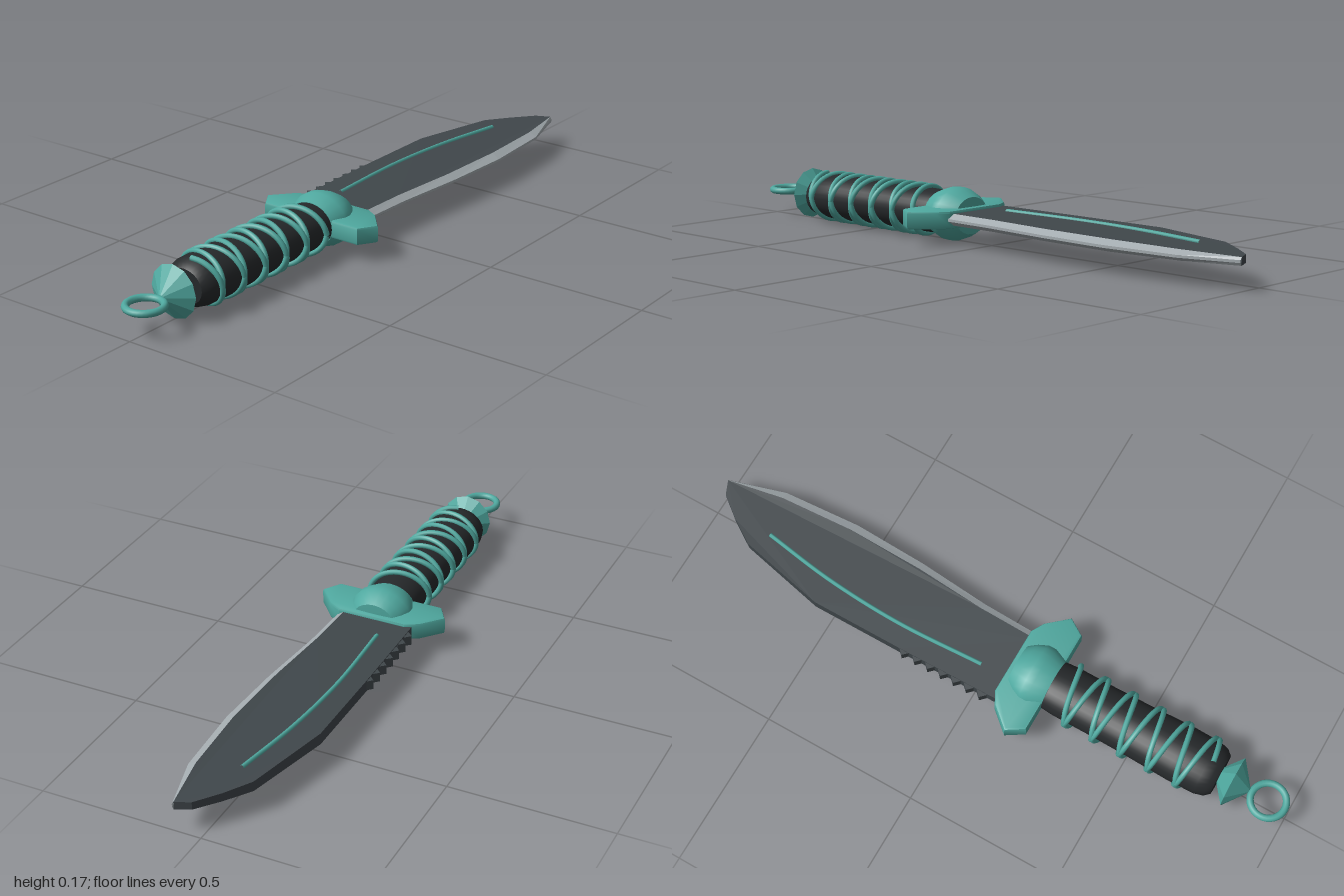
import * as THREE from 'three';
import { toCreasedNormals } from 'three/addons/utils/BufferGeometryUtils.js';

const MID = 0.084; // height of the long axis
const paint = (color, extra = {}) => new THREE.MeshStandardMaterial({ color, ...extra });
const teal = paint(0x4fa89f);
const tealFlat = paint(0x4fa89f, { flatShading: true });
const gripBlack = paint(0x26292b);
const steel = paint(0x40474b, { flatShading: true });
const honed = paint(0xa3abaf, { flatShading: true });

export function createModel() {
  const model = new THREE.Group();
  const add = (name, geometry, material) => {
    const mesh = new THREE.Mesh(geometry, material);
    mesh.name = name;
    mesh.position.y = MID;
    model.add(mesh);
    return mesh;
  };

  // Plan outline of [x, z] points, extruded to a slab centred on y = 0
  const slab = (outline, thickness, bevel = 0) => {
    const shape = new THREE.Shape(outline.map(([x, z]) => new THREE.Vector2(x, -z)));
    const depth = thickness - 2 * bevel;
    return new THREE.ExtrudeGeometry(shape, {
      depth, bevelEnabled: bevel > 0, bevelSize: bevel, bevelOffset: -bevel,
      bevelThickness: bevel, bevelSegments: 2,
    }).translate(0, 0, -depth / 2).rotateX(-Math.PI / 2);
  };

  // Turned body along z, from [radius, z] points, squashed in height
  const turned = (profile, sides, squash) =>
    new THREE.LatheGeometry(profile.map(([r, z]) => new THREE.Vector2(r, z)), sides)
      .rotateX(Math.PI / 2).scale(1, squash, 1);

  // Blade body: spine on -x, bevel line on +x, a little thinner at the tip
  const halfThick = (z) => 0.018 - 0.006 * THREE.MathUtils.smoothstep(-z, 0.7, 1);
  const bevelLine = [[0.095, 0.1], [0.1, -0.1], [0.118, -0.33], [0.125, -0.58], [0.112, -0.82], [0.08, -1]];
  const spine = [[0.035, -0.98], [-0.02, -0.91], [-0.072, -0.83], [-0.135, -0.55], [-0.135, -0.25], [-0.13, 0.1]];
  const blade = slab([...bevelLine, ...spine], 2);
  const pos = blade.attributes.position;
  for (let i = 0; i < pos.count; i++) pos.setY(i, pos.getY(i) * halfThick(pos.getZ(i)));
  blade.computeVertexNormals();
  add('blade', blade, steel);

  // Sharpened edge: wedge lofted along the bevel line
  const edgeLine = [[0.115, 0.1], [0.122, -0.1], [0.143, -0.33], [0.153, -0.57], [0.137, -0.82], [0.085, -1]];
  const verts = [], faces = [];
  bevelLine.forEach(([x, z], i) => {
    const [ex, ez] = edgeLine[i], h = halfThick(z);
    verts.push(x, h, z, ex, 0.004, ez, ex, -0.004, ez, x, -h, z);
    if (i === 0) return;
    const b = i * 4, a = b - 4;
    for (let k = 0; k < 3; k++) faces.push(a + k, a + k + 1, b + k, a + k + 1, b + k + 1, b + k);
  });
  const edge = new THREE.BufferGeometry();
  edge.setAttribute('position', new THREE.Float32BufferAttribute(verts, 3));
  edge.setIndex(faces);
  edge.computeVertexNormals();
  add('cuttingEdge', edge, paint(0xa3abaf, { flatShading: true, side: THREE.DoubleSide }));

  // Saw teeth along the spine
  for (let i = 0; i < 7; i++) {
    const tooth = add('sawTooth', new THREE.BoxGeometry(0.024, 0.03, 0.024), steel);
    tooth.position.set(-0.133, MID, 0.035 - i * 0.045);
    tooth.rotation.y = Math.PI / 4;
  }

  // Inlaid line on the upper face
  const inlay = new THREE.CatmullRomCurve3([[-0.056, -0.01], [-0.066, -0.3], [-0.05, -0.55], [-0.013, -0.786]]
    .map(([x, z]) => new THREE.Vector3(x, halfThick(z), z)));
  add('bladeInlay', new THREE.TubeGeometry(inlay, 24, 0.007, 6), teal);

  // Cross guard with its rounded collar
  const guardHalf = [[0.11, 0.068], [0.15, 0.09], [0.207, 0.155], [0.172, 0.21]];
  const guardOutline = [...guardHalf.map(([x, z]) => [-x, z]), ...guardHalf.slice().reverse()];
  add('guard', toCreasedNormals(slab(guardOutline, 0.056, 0.008), 0.6), teal);
  const collar = turned([[0, 0.08], [0.07, 0.085], [0.088, 0.11], [0.101, 0.14], [0.101, 0.165], [0.082, 0.21], [0, 0.21]], 24, 0.82);
  add('guardCollar', toCreasedNormals(collar, 0.5), teal);

  // Grip
  const grip = turned([[0, 0.19], [0.078, 0.19], [0.083, 0.25], [0.083, 0.38], [0.085, 0.5],
    [0.09, 0.64], [0.088, 0.73], [0.08, 0.76], [0.065, 0.776], [0, 0.776]], 32, 0.82);
  add('grip', toCreasedNormals(grip, 0.7), gripBlack);

  // Two cords wound in opposite directions, crossing at the sides
  for (const [dir, turns] of [[1, 5.25], [-1, 5]]) {
    const points = [];
    for (let i = 0; i <= turns * 20; i++) {
      const a = i / 20 * Math.PI * 2;
      points.push(new THREE.Vector3(0.092 * Math.cos(a), dir * 0.074 * Math.sin(a), 0.25 + 0.094 * i / 20));
    }
    add('gripCord', new THREE.TubeGeometry(new THREE.CatmullRomCurve3(points), 220, 0.0085, 8), teal);
  }

  // Faceted pommel and lanyard ring
  add('pommel', turned([[0, 0.77], [0.022, 0.772], [0.081, 0.818], [0.008, 0.872], [0, 0.875]], 12, 1), tealFlat);
  const ring = add('lanyardRing', new THREE.TorusGeometry(0.054, 0.011, 10, 32).rotateX(Math.PI / 2), teal);
  ring.position.z = 0.935;

  return model;
}
